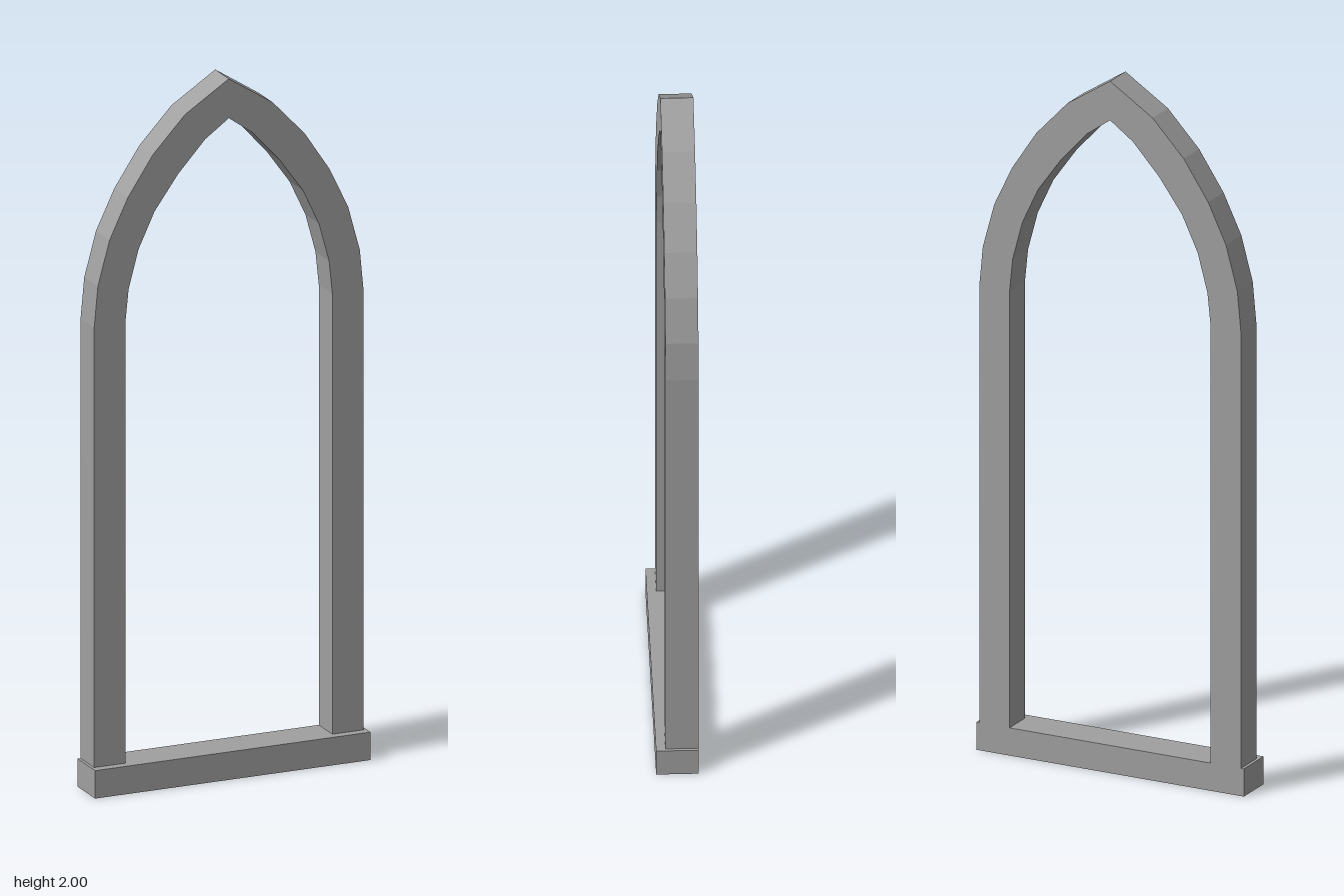
import * as THREE from 'three';

export function createModel() {
  const group = new THREE.Group();
  group.name = 'pointedArchFrame';
  const stone = new THREE.MeshStandardMaterial({ color: 0xa0a0a0 });
  stone.name = 'greyStone';

  const sillTop = 0.08;
  const back = -0.058;

  // Right-hand halves of the arch outlines, from the foot up to the apex
  const outer = [[0.403, sillTop], [0.403, 1.34], [0.392, 1.457], [0.357, 1.585],
    [0.302, 1.7], [0.227, 1.813], [0.131, 1.915], [0, 2]];
  const inner = [[0.31, sillTop], [0.31, 1.34], [0.3, 1.437], [0.27, 1.548],
    [0.222, 1.65], [0.152, 1.747], [0.071, 1.836], [0, 1.887]];

  // Mirror a half outline into a full one, foot to foot
  const arch = (half) => [
    ...half,
    ...half.slice(0, -1).reverse().map(([x, y]) => [-x, y]),
  ].map(([x, y]) => new THREE.Vector2(x, y));

  // Jambs and pointed arch in one band
  const band = new THREE.Shape([...arch(outer), ...arch(inner).reverse()]);
  const frame = new THREE.Mesh(
    new THREE.ExtrudeGeometry(band, { depth: 0.09, bevelEnabled: false }), stone);
  frame.name = 'archFrame';
  frame.position.z = back;
  group.add(frame);

  // Sill, flush at the back and projecting at the front
  const sill = new THREE.Mesh(new THREE.BoxGeometry(0.824, sillTop, 0.116), stone);
  sill.name = 'sill';
  sill.position.set(0, sillTop / 2, 0);
  group.add(sill);

  return group;
}
